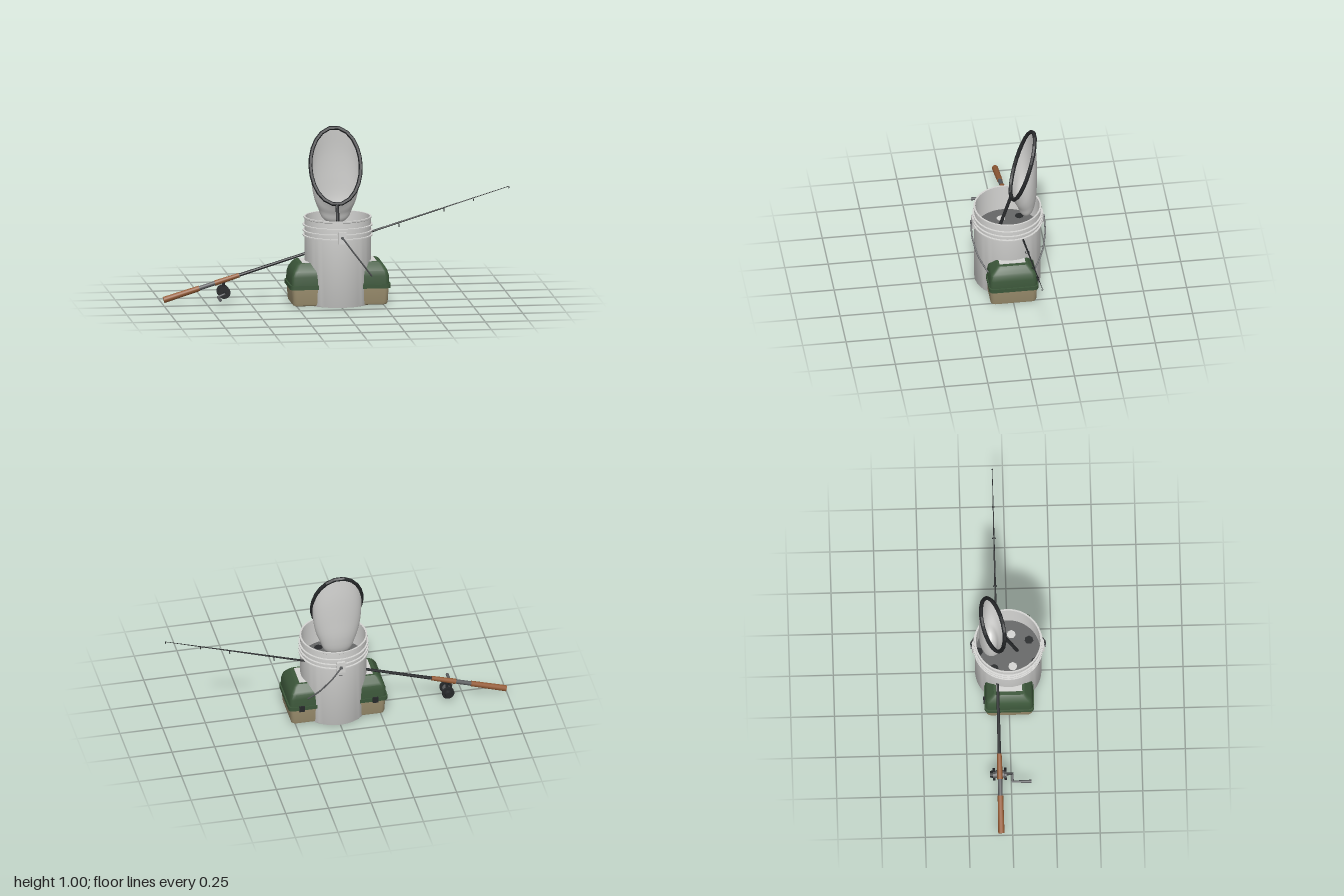
import * as THREE from 'three';
import { toCreasedNormals } from 'three/addons/utils/BufferGeometryUtils.js';
import { ParametricGeometry } from 'three/addons/geometries/ParametricGeometry.js';

const V = (x, y, z) => new THREE.Vector3(x, y, z);

function material(name, color, extra = {}) {
  const m = new THREE.MeshStandardMaterial({ color, ...extra });
  m.name = name;
  return m;
}

const two = { side: THREE.DoubleSide };
const mats = {
  white: material('bucketWhite', 0xd4d4d2, two),
  net: material('netGrey', 0xcfcfcd, two),
  green: material('lidGreen', 0x3c573a),
  tan: material('baseTan', 0x9a8d6d),
  cork: material('corkBrown', 0x955c36),
  black: material('black', 0x26282a, { flatShading: true }),
  metal: material('darkMetal', 0x5c5e60),
  water: material('waterGrey', 0x666767),
};

function add(parent, name, geometry, mat, pos) {
  const mesh = new THREE.Mesh(geometry, mat);
  mesh.name = name;
  if (pos) mesh.position.copy(pos);
  parent.add(mesh);
  return mesh;
}

// Tapered round bar from a to b
function bar(parent, name, a, b, ra, rb, mat, sides = 10) {
  const dir = b.clone().sub(a);
  const mesh = add(parent, name, new THREE.CylinderGeometry(rb, ra, dir.length(), sides), mat,
    a.clone().add(b).multiplyScalar(0.5));
  mesh.quaternion.setFromUnitVectors(V(0, 1, 0), dir.normalize());
  return mesh;
}

// Solid made of stacked rounded rectangles; each row is [y, halfX, halfZ, cornerRadius]
function loft(rows) {
  const pos = [], idx = [], n = 20;
  for (const [y, hx, hz, r] of rows) {
    for (let c = 0; c < 4; c++) {
      const sx = c === 0 || c === 3 ? 1 : -1, sz = c < 2 ? 1 : -1;
      for (let i = 0; i < 5; i++) {
        const a = (c + i / 4) * Math.PI / 2;
        pos.push(sx * (hx - r) + r * Math.cos(a), y, sz * (hz - r) + r * Math.sin(a));
      }
    }
  }
  for (let k = 0; k < rows.length - 1; k++) {
    for (let i = 0; i < n; i++) {
      const a = k * n + i, b = k * n + (i + 1) % n;
      idx.push(a, a + n, b, b, a + n, b + n);
    }
  }
  const top = (rows.length - 1) * n;
  for (let i = 1; i < n - 1; i++) {
    idx.push(0, i, i + 1);
    idx.push(top, top + i + 1, top + i);
  }
  const g = new THREE.BufferGeometry();
  g.setAttribute('position', new THREE.Float32BufferAttribute(pos, 3));
  g.setIndex(idx);
  return toCreasedNormals(g, 0.5);
}

function makeBucket() {
  const g = new THREE.Group();
  g.name = 'bucket';
  const profile = [[0.187, 0], [0.19, 0.006], [0.19, 0.49], [0.194, 0.493], [0.194, 0.502], [0.184, 0.502], [0.184, 0]]
    .map(([r, y]) => new THREE.Vector2(r, y));
  add(g, 'wall', toCreasedNormals(new THREE.LatheGeometry(profile, 48), 0.6), mats.white);
  for (const y of [0.455, 0.422, 0.395]) {
    const ring = [[0.189, y - 0.004], [0.2, y - 0.003], [0.2, y + 0.003], [0.189, y + 0.004]]
      .map(([r, h]) => new THREE.Vector2(r, h));
    add(g, 'ring', toCreasedNormals(new THREE.LatheGeometry(ring, 48), 0.6), mats.white);
  }

  // Dark surface inside with scattered patches
  const disc = (name, r, mat, x, y, z) => {
    const m = add(g, name, new THREE.CircleGeometry(r, r > 0.1 ? 40 : 7), mat, V(x, y, z));
    m.rotation.x = -Math.PI / 2;
    return m;
  };
  disc('waterSurface', 0.184, mats.water, 0, 0.34, 0);
  for (let i = 0; i < 7; i++) {
    const a = i * 0.9 + 0.2, r = 0.1 + 0.035 * (i % 3);
    disc('patch', 0.026, i % 3 ? mats.black : mats.white, r * Math.cos(a), 0.342, r * Math.sin(a));
  }

  // Wire handle hanging to one side
  for (const s of [1, -1]) {
    add(g, 'ear', new THREE.BoxGeometry(0.048, 0.068, 0.016), mats.white, V(0, 0.406, s * 0.198));
    bar(g, 'pivot', V(0, 0.408, s * 0.2), V(0, 0.408, s * 0.215), 0.009, 0.009, mats.metal);
  }
  const half = [[0, 0.41, 0.211], [0.055, 0.335, 0.211], [0.12, 0.25, 0.186], [0.18, 0.17, 0.132]];
  const path = [...half.map(p => V(...p)), V(0.22, 0.12, 0),
    ...half.slice().reverse().map(([x, y, z]) => V(x, y, -z))];
  add(g, 'wireHandle', new THREE.TubeGeometry(new THREE.CatmullRomCurve3(path, false, 'catmullrom', 0.2), 60, 0.0045, 8), mats.metal);
  return g;
}

function makeTackleBox() {
  const g = new THREE.Group();
  g.name = 'tackleBox';
  add(g, 'base', loft([[0.003, 0.262, 0.12, 0.02], [0.008, 0.271, 0.13, 0.025], [0.02, 0.274, 0.133, 0.025],
    [0.102, 0.279, 0.136, 0.025]]), mats.tan);
  add(g, 'lidRim', loft([[0.1, 0.29, 0.142, 0.025], [0.124, 0.29, 0.142, 0.025]]), mats.green);
  add(g, 'lid', loft([[0.12, 0.282, 0.137, 0.025], [0.17, 0.281, 0.135, 0.025], [0.2, 0.272, 0.13, 0.025],
    [0.212, 0.265, 0.122, 0.025], [0.235, 0.25, 0.1, 0.02], [0.247, 0.237, 0.088, 0.02]]), mats.green);
  add(g, 'topPlate', new THREE.BoxGeometry(0.43, 0.004, 0.15), mats.white, V(0, 0.248, 0));
  for (const s of [1, -1]) {
    add(g, 'latch', new THREE.BoxGeometry(0.032, 0.034, 0.01), mats.black, V(s * 0.215, 0.111, -0.143));
  }
  return g;
}

function makeNet() {
  const g = new THREE.Group();
  g.name = 'landingNet';
  const onPlane = (x, y) => V(x, y, -(y - 0.5) * 0.32);

  // Faceted oval hoop
  const pts = [];
  for (let i = 0; i < 22; i++) {
    const a = i / 22 * Math.PI * 2;
    pts.push(onPlane(0.145 * Math.cos(a), 0.776 + 0.212 * Math.sin(a)));
  }
  add(g, 'hoop', new THREE.TubeGeometry(new THREE.CatmullRomCurve3(pts, true), 22, 0.0115, 6, true), mats.black);
  bar(g, 'netHandle', onPlane(0, 0.57), onPlane(0, 0.2), 0.01, 0.01, mats.black, 8);
  bar(g, 'netGrip', onPlane(0, 0.2), onPlane(0, 0.02), 0.015, 0.015, mats.cork, 12);

  // Bag: upper edge and lower edge of each section; x of the upper one holds the half width
  const upper = new THREE.CatmullRomCurve3([V(0.145, 0.985, -0.155), V(0.139, 0.85, -0.166), V(0.125, 0.7, -0.168),
    V(0.1, 0.57, -0.164), V(0.07, 0.48, -0.145), V(0, 0.43, -0.1)]);
  const lower = new THREE.CatmullRomCurve3([V(0, 0.566, -0.021), V(0, 0.54, -0.035), V(0, 0.52, -0.045),
    V(0, 0.5, -0.055), V(0, 0.46, -0.07), V(0, 0.43, -0.1)]);
  const bag = new ParametricGeometry((u, v, out) => {
    const t = upper.getPoint(v), b = lower.getPoint(v), a = u * Math.PI * 2, s = (1 + Math.sin(a)) / 2;
    out.set(t.x * Math.cos(a), b.y + (t.y - b.y) * s, b.z + (t.z - b.z) * s);
  }, 32, 18);
  add(g, 'netBag', bag, mats.net);
  return g;
}

function makeRod() {
  const g = new THREE.Group();
  g.name = 'fishingRod';
  const Z = -0.065;
  const at = x => V(x, 0.332 + 0.308 * x, Z);
  const piece = (name, x0, x1, r0, r1, mat, sides) => bar(g, name, at(x0), at(x1), r0, r1, mat, sides);
  piece('rearGrip', -0.995, -0.79, 0.018, 0.016, mats.cork, 14);
  piece('reelSeat', -0.79, -0.7, 0.013, 0.013, mats.metal, 12);
  piece('frontGrip', -0.7, -0.56, 0.016, 0.013, mats.cork, 14);
  piece('lowerBlank', -0.56, 0, 0.01, 0.007, mats.black, 8);
  piece('upperBlank', 0, 0.999, 0.007, 0.0015, mats.black, 8);

  // Line guides under the blank
  [[0.36, 0.011], [0.62, 0.009], [0.79, 0.006], [0.995, 0.004]].forEach(([x, r]) => {
    const ring = add(g, 'lineGuide', new THREE.TorusGeometry(r, 0.0018, 6, 14), mats.black, at(x).add(V(0.002, -r - 0.003, 0)));
    ring.rotation.set(0, Math.PI / 2, 0);
  });

  // Reel with crank
  const c = V(-0.65, 0.066, Z);
  const along = (z, x = c.x, y = c.y) => V(x, y, z);
  bar(g, 'reelFoot', c, at(-0.65), 0.009, 0.009, mats.black, 8);
  bar(g, 'spool', along(-0.1), along(-0.03), 0.022, 0.022, mats.metal, 16);
  for (const z of [-0.105, -0.04]) bar(g, 'reelPlate', along(z), along(z + 0.014), 0.036, 0.036, mats.black, 18);
  bar(g, 'reelCap', along(-0.122), along(-0.1), 0.018, 0.024, mats.black, 14);
  bar(g, 'crankShaft', along(-0.03), along(0.012), 0.009, 0.007, mats.black);
  bar(g, 'crankArm', along(0.008), along(0.008, -0.692, 0.048), 0.006, 0.006, mats.metal);
  bar(g, 'crankKnob', along(0.002, -0.692, 0.048), along(0.115, -0.692, 0.048), 0.006, 0.009, mats.metal);
  return g;
}

export function createModel() {
  const model = new THREE.Group();
  model.name = 'fishingGear';
  model.add(makeBucket(), makeTackleBox(), makeNet(), makeRod());
  return model;
}
